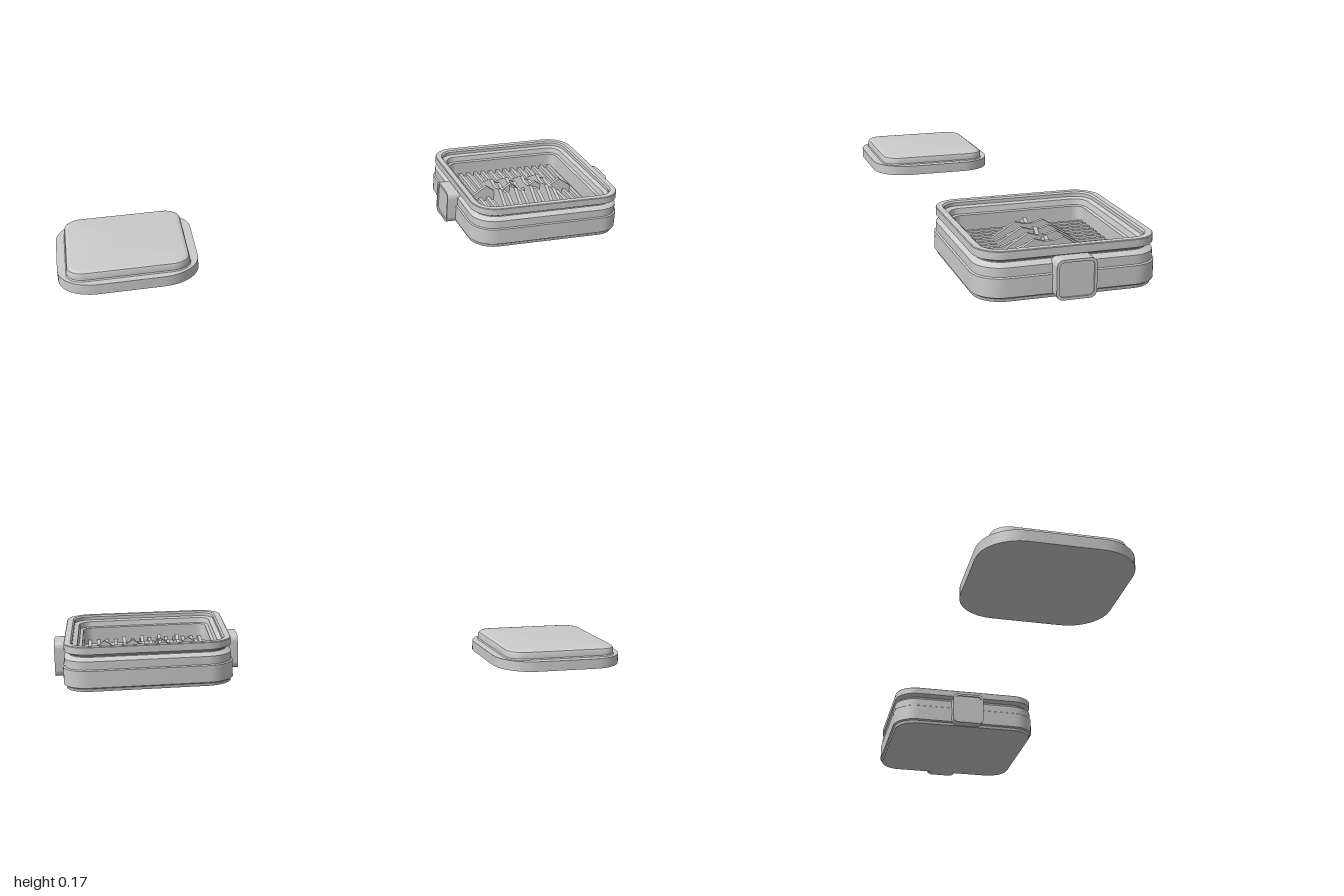
import * as THREE from 'three';
import { toCreasedNormals } from 'three/addons/utils/BufferGeometryUtils.js';

const grey = new THREE.MeshStandardMaterial({ color: 0xcccccc });

function add(parent, geometry, name) {
  const mesh = new THREE.Mesh(geometry, grey);
  mesh.name = name;
  parent.add(mesh);
  return mesh;
}

// One horizontal rounded-square ring
function ring(half, y, radius) {
  const r = Math.min(radius, half), pts = [], steps = 8;
  for (let q = 0; q < 4; q++) {
    const mid = (q + 0.5) * Math.PI / 2;
    const cx = Math.sign(Math.cos(mid)) * (half - r), cz = Math.sign(Math.sin(mid)) * (half - r);
    for (let i = 0; i <= steps; i++) {
      const a = (q + i / steps) * Math.PI / 2;
      pts.push(new THREE.Vector3(cx + r * Math.cos(a), y, cz + r * Math.sin(a)));
    }
  }
  return pts;
}

// Loft of rounded-square rings, given as [half width, height, corner radius]
function loft(profile) {
  const rings = profile.map(p => ring(...p)), pos = [];
  const tri = (a, b, c) => {
    const area = b.clone().sub(a).cross(c.clone().sub(a)).length();
    if (area > 1e-10) for (const p of [a, b, c]) pos.push(p.x, p.y, p.z);
  };
  for (let i = 0; i < rings.length - 1; i++) {
    const low = rings[i], high = rings[i + 1], n = low.length;
    for (let j = 0; j < n; j++) {
      const k = (j + 1) % n;
      tri(low[j], high[j], low[k]);
      tri(low[k], high[j], high[k]);
    }
  }
  const g = new THREE.BufferGeometry();
  g.setAttribute('position', new THREE.Float32BufferAttribute(pos, 3));
  return toCreasedNormals(g, 0.5);
}

function roundedRect(w, h, r, Type = THREE.Shape) {
  const s = new Type(), x = w / 2, y = h / 2;
  s.absarc(x - r, y - r, r, 0, Math.PI / 2);
  s.absarc(-x + r, y - r, r, Math.PI / 2, Math.PI);
  s.absarc(-x + r, -y + r, r, Math.PI, Math.PI * 1.5);
  s.absarc(x - r, -y + r, r, Math.PI * 1.5, Math.PI * 2);
  s.closePath();
  return s;
}

// Side latch: raised frame around a slightly sunken panel, facing +x
function makeLatch() {
  const latch = new THREE.Group();
  latch.name = 'latch';
  const frame = roundedRect(0.12, 0.118, 0.02);
  frame.holes.push(roundedRect(0.104, 0.102, 0.015, THREE.Path));
  const options = { bevelEnabled: false, curveSegments: 6 };
  const parts = [
    ['latchFrame', frame, 0.05],
    ['latchPanel', roundedRect(0.105, 0.103, 0.015), 0.045],
  ];
  for (const [name, shape, depth] of parts) {
    const g = new THREE.ExtrudeGeometry(shape, { ...options, depth });
    add(latch, toCreasedNormals(g.rotateY(Math.PI / 2), 0.5), name);
  }
  return latch;
}

// Rib across the tray with a raised hump in the middle
function makeRib(height) {
  const s = new THREE.Shape();
  s.moveTo(-0.215, 0);
  s.lineTo(0.215, 0);
  s.lineTo(0.215, 0.014);
  if (height > 0.014) {
    s.lineTo(0.12, 0.014);
    s.lineTo(0.045, height);
    s.lineTo(0.015, height * 0.85);
    s.lineTo(-0.015, height * 0.85);
    s.lineTo(-0.045, height);
    s.lineTo(-0.12, 0.014);
  }
  s.lineTo(-0.215, 0.014);
  s.closePath();
  const g = new THREE.ExtrudeGeometry(s, { depth: 0.012, bevelEnabled: false });
  return g.translate(0, 0, -0.006).rotateY(Math.PI / 2);
}

export function createModel() {
  const model = new THREE.Group();
  model.name = 'caseWithSeparateLid';

  // Open case with stepped walls, a groove and a stepped rim
  const box = new THREE.Group();
  box.name = 'case';
  box.position.x = 0.69;
  model.add(box);
  add(box, loft([
    [0, 0.02, 0], [0.268, 0.02, 0.08], [0.27, 0.03, 0.08], [0.276, 0.034, 0.085],
    [0.276, 0.09, 0.085], [0.271, 0.093, 0.08], [0.271, 0.12, 0.08],
    [0.255, 0.131, 0.07], [0.255, 0.134, 0.07], [0.271, 0.143, 0.08],
    [0.271, 0.166, 0.08], [0.269, 0.168, 0.078],
    [0.25, 0.168, 0.06], [0.245, 0.163, 0.055], [0.245, 0.152, 0.055],
    [0.23, 0.148, 0.045], [0.226, 0.13, 0.04], [0.216, 0.128, 0.03],
    [0.216, 0.07, 0.03], [0, 0.07, 0],
  ]), 'caseShell');

  // Ribbed tray floor, taller ribs alternating in the middle
  const count = 14;
  for (let i = 0; i < count; i++) {
    const x = -0.195 + 0.39 * i / (count - 1);
    const inner = Math.abs(x) < 0.11;
    const height = inner ? (i % 2 ? 0.06 : 0.042) : 0.014;
    add(box, makeRib(height), 'trayRib').position.set(x, 0.07, 0);
  }

  // Zigzag divider along the middle of the tray
  const wave = new THREE.Shape();
  wave.moveTo(-0.19, 0);
  wave.lineTo(0.19, 0);
  for (let i = 8; i >= 0; i--) wave.lineTo(-0.19 + 0.38 * i / 8, i % 2 ? 0.058 : 0.025);
  wave.closePath();
  const divider = new THREE.ExtrudeGeometry(wave, { depth: 0.012, bevelEnabled: false });
  add(box, divider.translate(0, 0, -0.006), 'trayDivider').position.y = 0.07;

  // Latches on both sides
  for (const side of [1, -1]) {
    const latch = makeLatch();
    latch.position.set(side * 0.259, 0.081, 0);
    if (side < 0) latch.rotation.y = Math.PI;
    box.add(latch);
  }

  // Separate lid: wide flange with a smaller softened plug on top
  const lid = add(model, loft([
    [0, 0, 0], [0.235, 0, 0.125], [0.235, 0.036, 0.125], [0.207, 0.036, 0.06],
    [0.204, 0.04, 0.058], [0.204, 0.056, 0.058], [0.201, 0.063, 0.055],
    [0.195, 0.067, 0.05], [0.187, 0.068, 0.044], [0, 0.068, 0],
  ]), 'lid');
  lid.position.x = -0.765;

  return model;
}
